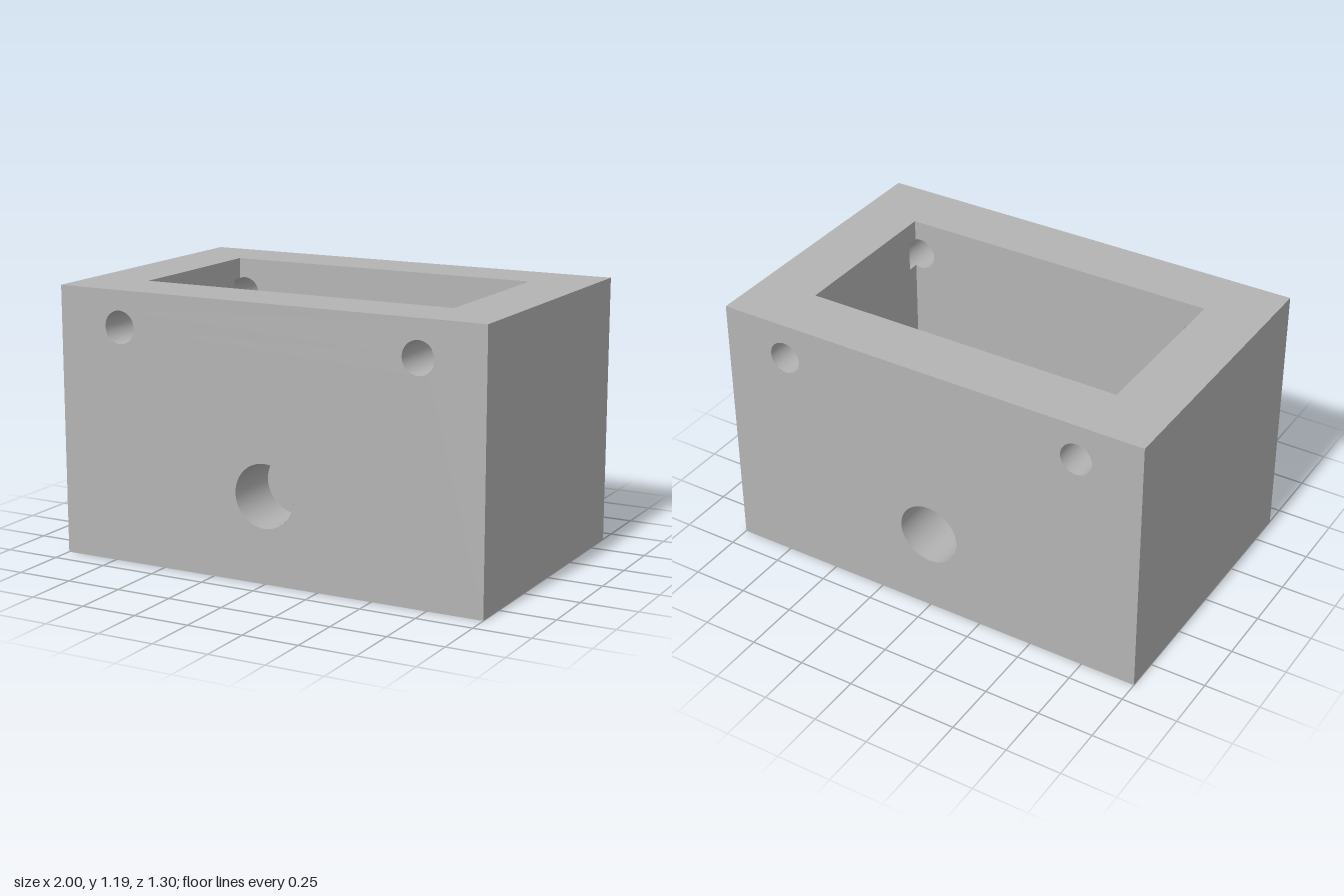
import * as THREE from 'three';

const W = 1, D = 0.65, H = 1.19;          // outer half width, half depth, height
const PW = 0.73, PD = 0.382;              // pocket half width, half depth
const NZ = 0.33;                          // depth reached by the small bores
const BIG = { x: 0, y: 0.38, r: 0.139 };
const SX = 0.703, SY = 1.03, SR = 0.072;  // small bores
const A = Math.acos((PW - SX) / SR);      // half angle of the part cutting into the end walls
const CH = SR * Math.sin(A);              // half chord of that cut
const SEG = 48;

function polygon(points) {
  return new THREE.Shape(points.map(([x, y]) => new THREE.Vector2(x, y)));
}

function rect(w, y0, y1) {
  return polygon([[-w, y0], [w, y0], [w, y1], [-w, y1]]);
}

function circleHole(x, y, r) {
  return new THREE.Path().absarc(x, y, r, 0, Math.PI * 2, true);
}

export function createModel() {
  const grey = new THREE.MeshStandardMaterial({ color: 0xb4b4b4, side: THREE.DoubleSide });
  grey.name = 'grey';
  const model = new THREE.Group();
  model.name = 'hollowBlock';

  function add(parent, name, geometry) {
    const mesh = new THREE.Mesh(geometry, grey);
    mesh.name = name;
    parent.add(mesh);
  }

  const face = (shape) => new THREE.ShapeGeometry(shape, SEG);

  // Inward-facing round wall running along z
  function bore(x, y, r, z0, z1, start = 0, length = Math.PI * 2) {
    const profile = [new THREE.Vector2(r, z1), new THREE.Vector2(r, z0)];
    return new THREE.LatheGeometry(profile, SEG, start, length)
      .rotateX(Math.PI / 2).translate(x, y, 0);
  }

  // Top and bottom rims around the open pocket
  const rim = rect(W, -D, D);
  rim.holes.push(new THREE.Path([[-PW, -PD], [-PW, PD], [PW, PD], [PW, -PD]]
    .map(([x, y]) => new THREE.Vector2(x, y))));
  add(model, 'topRim', face(rim).rotateX(-Math.PI / 2).translate(0, H, 0));
  add(model, 'bottomRim', face(rim).rotateX(Math.PI / 2));

  // Outer long face with three bores
  const outer = rect(W, 0, H);
  outer.holes.push(circleHole(BIG.x, BIG.y, BIG.r), circleHole(SX, SY, SR), circleHole(-SX, SY, SR));

  // Pocket long face, its edges clipped by the small bores
  const inner = new THREE.Shape();
  inner.moveTo(-PW, 0);
  inner.lineTo(PW, 0);
  inner.lineTo(PW, SY - CH);
  inner.absarc(SX, SY, SR, -A, A, true);
  inner.lineTo(PW, H);
  inner.lineTo(-PW, H);
  inner.lineTo(-PW, SY + CH);
  inner.absarc(-SX, SY, SR, Math.PI - A, Math.PI + A, true);
  inner.closePath();
  inner.holes.push(circleHole(BIG.x, BIG.y, BIG.r));

  // Pocket end face, notched where the small bores run on past the long walls
  const end = polygon([
    [-PD, 0], [PD, 0], [PD, SY - CH], [NZ, SY - CH], [NZ, SY + CH], [PD, SY + CH], [PD, H],
    [-PD, H], [-PD, SY + CH], [-NZ, SY + CH], [-NZ, SY - CH], [-PD, SY - CH],
  ]);

  // The block repeats after half a turn
  for (const [i, label] of ['front', 'back'].entries()) {
    const half = new THREE.Group();
    half.name = label + 'Half';
    half.rotation.y = i * Math.PI;
    model.add(half);

    add(half, 'outerWall', face(outer).translate(0, 0, D));
    add(half, 'pocketWall', face(inner).rotateY(Math.PI).translate(0, 0, PD));
    add(half, 'largeBore', bore(BIG.x, BIG.y, BIG.r, PD, D));

    for (const s of [-1, 1]) {
      const side = s > 0 ? 0 : Math.PI;
      add(half, 'smallBore', bore(s * SX, SY, SR, PD, D));
      add(half, 'boreNotch', bore(s * SX, SY, SR, NZ, PD, s * Math.PI / 2 - A, 2 * A));
      const cap = new THREE.Shape();
      cap.absarc(s * SX, SY, SR, side - A, side + A, false);
      add(half, 'notchFloor', face(cap).translate(0, 0, NZ));
    }

    add(half, 'outerEndWall', face(rect(D, 0, H)).rotateY(Math.PI / 2).translate(W, 0, 0));
    add(half, 'pocketEndWall', face(end).rotateY(-Math.PI / 2).translate(PW, 0, 0));
  }
  return model;
}
